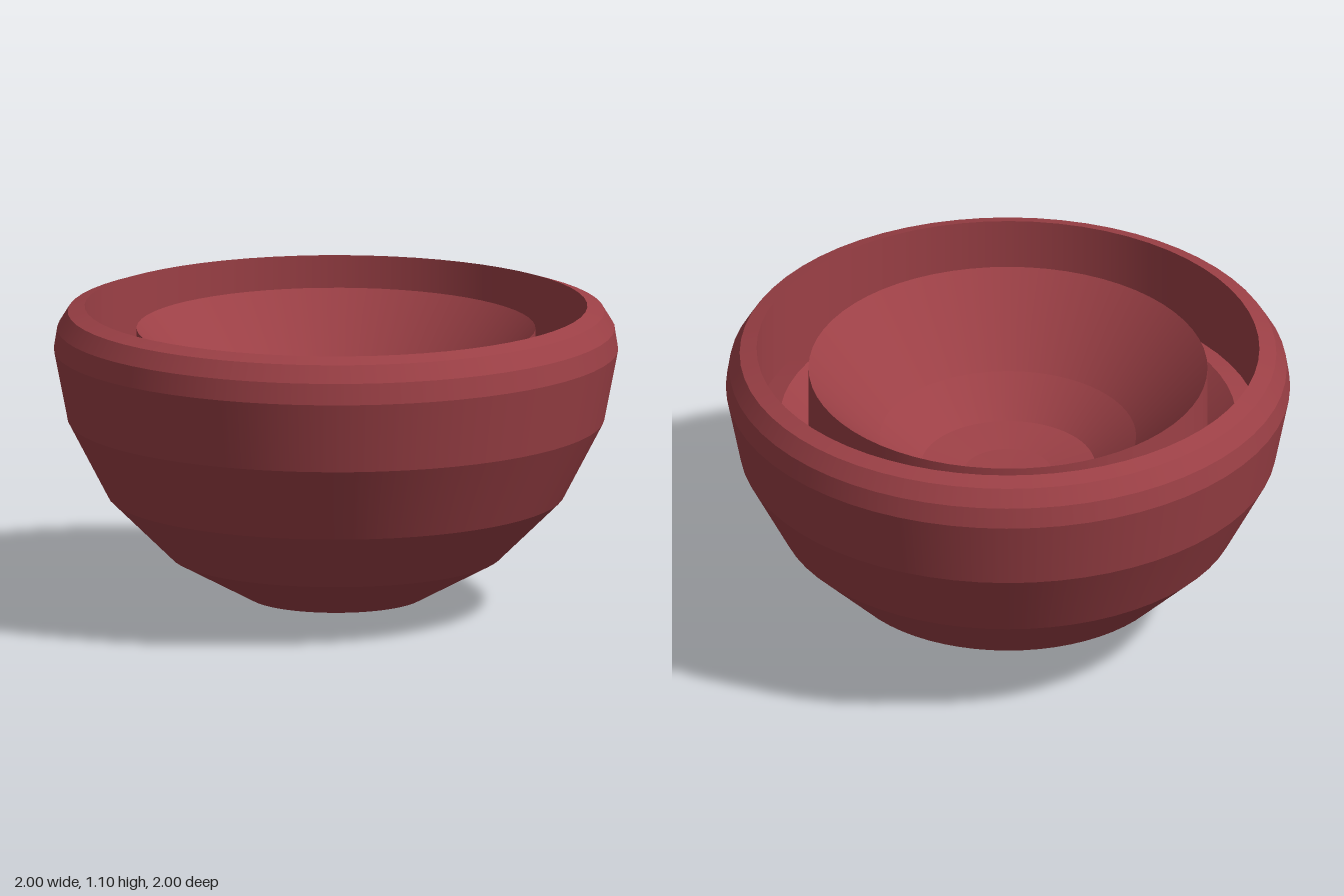
import * as THREE from 'three';
import { mergeGeometries } from 'three/addons/utils/BufferGeometryUtils.js';

// Revolve each profile segment on its own: smooth around, creased between bands
function bandedLathe(profile, sides = 64) {
  const bands = [];
  for (let i = 0; i < profile.length - 1; i++) {
    const points = [profile[i], profile[i + 1]].map(([r, y]) => new THREE.Vector2(r, y));
    bands.push(new THREE.LatheGeometry(points, sides));
  }
  return mergeGeometries(bands);
}

export function createModel() {
  const group = new THREE.Group();
  group.name = 'bowl';

  const darkRed = new THREE.MeshStandardMaterial({ color: 0x9c4046, side: THREE.DoubleSide });
  darkRed.name = 'darkRed';

  // Profiles as [radius, height], running up the outside and down the inside
  const parts = {
    outerShell: [[0, 0], [0.31, 0.053], [0.588, 0.203], [0.809, 0.42], [0.951, 0.693], [1, 0.945]],
    roundedRim: [[1, 0.945], [0.988, 1.02], [0.951, 1.08], [0.891, 1.1]],
    groove: [[0.891, 1.1], [0.891, 0.79], [0.809, 0.815], [0.707, 0.72]],
    innerWall: [[0.707, 0.72], [0.707, 1.02]],
    innerBasin: [[0.707, 1.02], [0.454, 0.74], [0.309, 0.62], [0.156, 0.595], [0, 0.59]],
  };

  for (const [name, profile] of Object.entries(parts)) {
    const mesh = new THREE.Mesh(bandedLathe(profile), darkRed);
    mesh.name = name;
    group.add(mesh);
  }
  return group;
}
